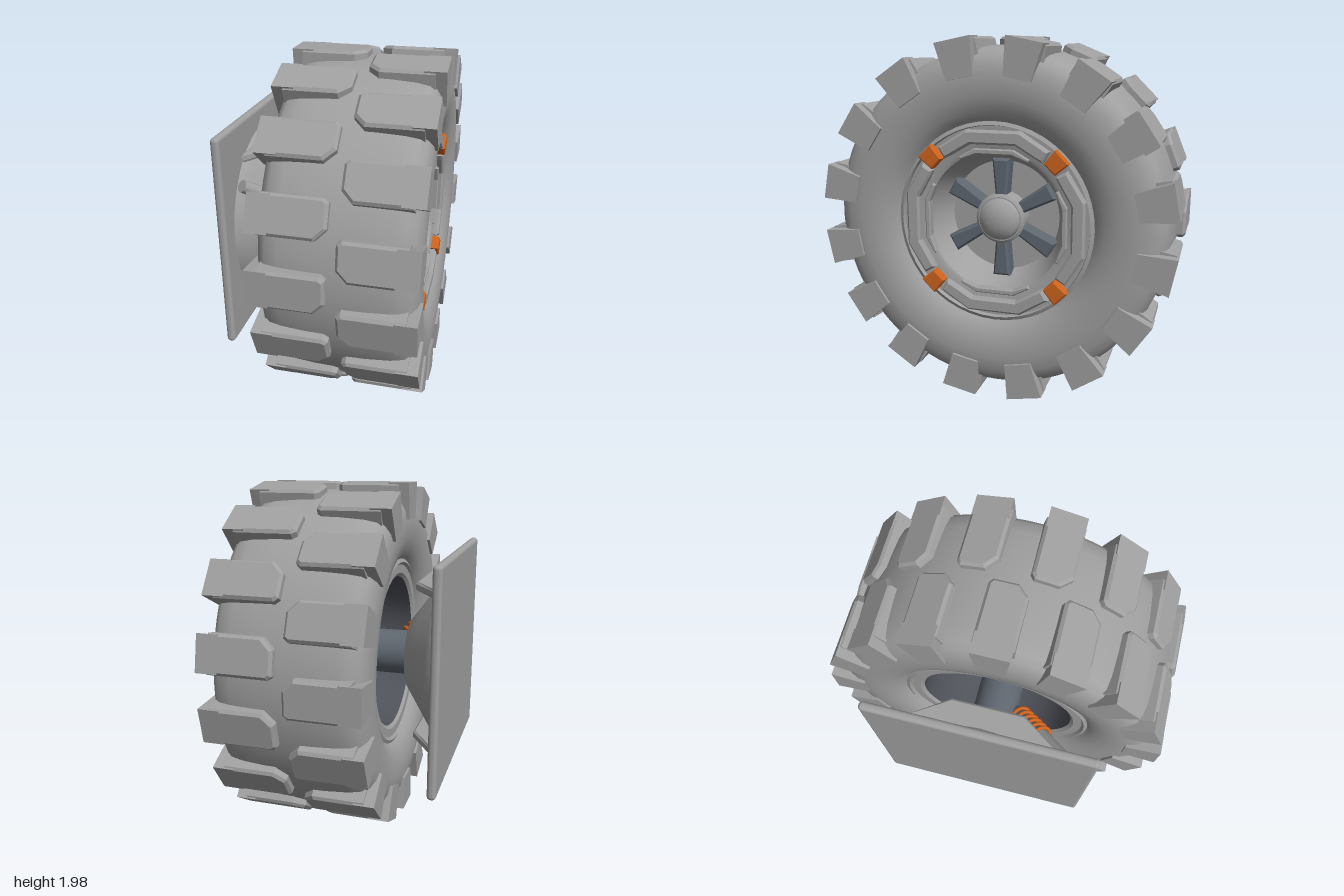
import * as THREE from 'three';
import { toCreasedNormals } from 'three/addons/utils/BufferGeometryUtils.js';
import { RoundedBoxGeometry } from 'three/addons/geometries/RoundedBoxGeometry.js';

const mat = (name, color) => {
  const m = new THREE.MeshStandardMaterial({ color });
  m.name = name;
  return m;
};

export function createModel() {
  const grey = mat('grey', 0xa0a0a0);
  const slate = mat('slate', 0x5f6770);
  const dark = mat('darkMetal', 0x50525a);
  const orange = mat('orange', 0xd0641e);

  const model = new THREE.Group();
  model.name = 'wheelAssembly';
  // Inside this group the axle runs along z, which becomes +x of the model
  const wheel = new THREE.Group();
  wheel.name = 'wheel';
  wheel.position.y = 1;
  wheel.rotation.y = Math.PI / 2;
  model.add(wheel);

  const add = (name, geo, material, angle = 0) => {
    const m = new THREE.Mesh(geo, material);
    m.name = name;
    m.rotation.z = angle;
    wheel.add(m);
    return m;
  };
  // Profile of [radius, axial position], spun about the axle
  const spin = (pts, segs = 48, crease = 0.5) => toCreasedNormals(
    new THREE.LatheGeometry(pts.map(p => new THREE.Vector2(...p)), segs).rotateX(Math.PI / 2), crease);
  // Flat outline extruded from z0 to z1 with a small bevel
  const slab = (pts, z0, z1, bevel = 0.008) => new THREE.ExtrudeGeometry(
    new THREE.Shape(pts.map(p => new THREE.Vector2(...p))), {
      depth: z1 - z0 - 2 * bevel, bevelEnabled: bevel > 0, bevelThickness: bevel,
      bevelSize: bevel, bevelOffset: -bevel, bevelSegments: 1,
    }).translate(0, 0, z0 + bevel);

  // Tyre carcass, symmetrical about its mid plane
  const mid = 0.145;
  const half = [[0.54, 0.34], [0.57, 0.37], [0.61, 0.395], [0.68, 0.415], [0.76, 0.42],
    [0.84, 0.41], [0.89, 0.385], [0.92, 0.35], [0.935, 0.28], [0.945, 0.15]];
  add('tyre', spin([
    ...half.map(([r, z]) => [r, mid - z]), [0.948, mid],
    ...half.slice().reverse().map(([r, z]) => [r, mid + z]),
  ], 64, 0.9), grey);

  // Tread blocks: two staggered rows, each block with a side lug
  const block = slab([[-0.105, -0.175], [0.105, -0.175], [0.105, 0.15],
    [0.085, 0.175], [-0.045, 0.175], [-0.105, 0.115]], 0.88, 0.99, 0.015).rotateX(-Math.PI / 2);
  // Extruded axis now points outward; chamfered end faces -z
  const outerBlock = block.clone().translate(0, 0, 0.345);
  const innerBlock = slab([[-0.105, 0.175], [0.105, 0.175], [0.105, -0.15],
    [0.085, -0.175], [-0.045, -0.175], [-0.105, -0.115]], 0.88, 0.99, 0.015)
    .rotateX(-Math.PI / 2).translate(0, 0, -0.055);
  const lugShape = [[-0.075, 0.79], [0.075, 0.79], [0.1, 0.99], [-0.1, 0.99]];
  const outerLug = slab(lugShape, 0.46, 0.577, 0);
  const innerLug = slab(lugShape, -0.287, -0.17, 0);
  for (let i = 0; i < 16; i++) {
    const a = i * Math.PI / 8;
    add('innerTreadBlock', innerBlock, grey, a);
    add('innerSideLug', innerLug, grey, a);
    add('outerTreadBlock', outerBlock, grey, a + Math.PI / 16);
    add('outerSideLug', outerLug, grey, a + Math.PI / 16);
  }

  // Rim: outer face with a deep dish
  add('rim', spin([[0.555, 0.40], [0.555, 0.50], [0.535, 0.51], [0.53, 0.485],
    [0.41, 0.485], [0.39, 0.475], [0.385, 0.45], [0.315, 0.29], [0, 0.29]]), grey);
  // Back of the rim: light lip and dark open barrel
  add('rimBackLip', spin([[0.45, -0.19], [0.47, -0.205], [0.52, -0.205],
    [0.535, -0.22], [0.555, -0.21], [0.555, -0.10]]), grey);
  add('rimBarrel', spin([[0, 0.22], [0.36, 0.22], [0.43, 0.1], [0.45, -0.19]]), dark);

  // Raised rim segments, orange clamps between them
  const segment = slab([[-0.31, 0.405], [-0.275, 0.345], [-0.245, 0.36], [-0.125, 0.43],
    [0.125, 0.43], [0.245, 0.36], [0.275, 0.345], [0.31, 0.405], [0.15, 0.505], [-0.15, 0.505]],
  0.46, 0.525, 0.012);
  const ledge = slab([[-0.2, 0.355], [-0.19, 0.34], [-0.1, 0.375], [0.1, 0.375], [0.19, 0.34],
    [0.2, 0.355], [0.11, 0.405], [-0.11, 0.405]], 0.45, 0.5, 0.006);
  const clamp = slab([[-0.042, 0.445], [0.042, 0.445], [0.052, 0.545], [-0.052, 0.545]], 0.46, 0.535);
  for (let i = 0; i < 4; i++) {
    const a = i * Math.PI / 2;
    add('rimSegment', segment, grey, a);
    add('rimLedge', ledge, grey, a);
    add('rimClamp', clamp, orange, a + Math.PI / 4);
  }

  // Spokes and domed hub cap
  const spoke = slab([[-0.03, 0.1], [0.03, 0.1], [0.05, 0.335], [-0.05, 0.335]], 0.28, 0.38, 0.012);
  for (let i = 0; i < 6; i++) add('spoke', spoke, slate, i * Math.PI / 3);
  add('hubCap', spin([[0.14, 0.28], [0.14, 0.39], [0.125, 0.4], [0.118, 0.4], [0.112, 0.42],
    [0.09, 0.44], [0.05, 0.455], [0, 0.46]], 32), grey);

  // Axle, flared mount and square backing plate
  add('axle', spin([[0.13, -0.32], [0.13, 0.23]], 32), slate);
  add('mountCone', spin([[0.51, -0.535], [0.505, -0.52], [0.44, -0.465], [0.32, -0.38],
    [0.21, -0.30], [0.13, -0.285], [0, -0.285]], 40, 0.6), grey);
  add('backPlate', new RoundedBoxGeometry(1.25, 1.25, 0.05, 3, 0.022), grey).position.z = -0.555;

  // Thin braces above and below the cone
  const brace = slab([[-0.4, -0.5], [0.4, -0.5], [0.2, -0.36], [-0.2, -0.36]], -0.025, 0.025, 0.012)
    .rotateX(Math.PI / 2);
  for (const s of [1, -1]) add('mountBrace', brace, grey).position.y = 0.44 * s;

  // Shock absorber with a coil spring, built along y then aimed at the axle
  const shock = new THREE.Group();
  shock.name = 'shockAbsorber';
  const from = new THREE.Vector3(-0.49, 1.3, 0.45), to = new THREE.Vector3(-0.2, 1.02, 0.1);
  const dir = to.clone().sub(from), len = dir.length();
  shock.position.copy(from);
  shock.quaternion.setFromUnitVectors(new THREE.Vector3(0, 1, 0), dir.normalize());
  const rod = (name, r0, r1, y0, y1, material) => {
    const m = new THREE.Mesh(new THREE.CylinderGeometry(r1, r0, y1 - y0, 20), material);
    m.name = name;
    m.position.y = (y0 + y1) / 2;
    shock.add(m);
  };
  rod('shockBody', 0.035, 0.045, 0, 0.24, grey);
  rod('shockRod', 0.03, 0.03, 0.24, len, slate);
  const coil = [];
  for (let i = 0; i <= 72; i++) {
    const a = i / 72 * 6 * Math.PI * 2;
    coil.push(new THREE.Vector3(0.055 * Math.cos(a), 0.21 + i / 72 * 0.26, 0.055 * Math.sin(a)));
  }
  const spring = new THREE.Mesh(
    new THREE.TubeGeometry(new THREE.CatmullRomCurve3(coil), 144, 0.011, 8), orange);
  spring.name = 'coilSpring';
  shock.add(spring);
  model.add(shock);

  return model;
}
